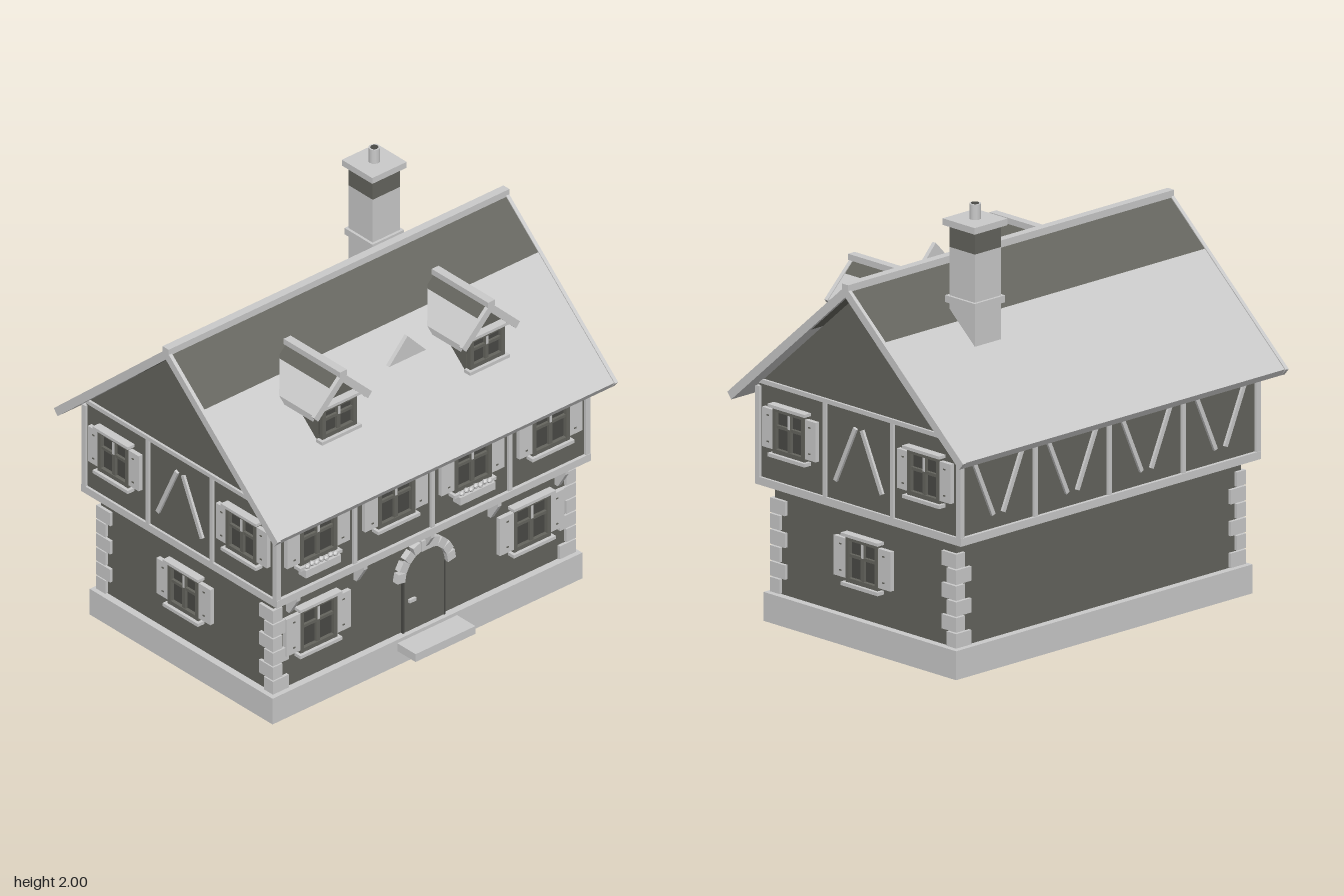
import * as THREE from 'three';

const make = (name, color) => {
  const m = new THREE.MeshStandardMaterial({ color });
  m.name = name;
  return m;
};

export function createModel() {
  const pale = make('pale timber and stone', 0xcacaca);
  const dark = make('dark plaster', 0x65655e);
  const glass = make('dark glass', 0x4a4a46);
  const house = new THREE.Group();
  house.name = 'house';

  const add = (parent, name, geo, mat) => {
    const m = new THREE.Mesh(geo, mat);
    m.name = name;
    parent.add(m);
    return m;
  };
  // box given by its extents on each axis
  const box = (parent, name, mat, x0, x1, y0, y1, z0, z1) => {
    const m = add(parent, name, new THREE.BoxGeometry(x1 - x0, y1 - y0, z1 - z0), mat);
    m.position.set((x0 + x1) / 2, (y0 + y1) / 2, (z0 + z1) / 2);
    return m;
  };
  // prism along z from [x, y] points
  const prismZ = (parent, name, mat, pts, z0, z1) => {
    const shape = new THREE.Shape(pts.map(p => new THREE.Vector2(p[0], p[1])));
    const g = new THREE.ExtrudeGeometry(shape, { depth: z1 - z0, bevelEnabled: false });
    return add(parent, name, g.translate(0, 0, z0), mat);
  };
  // prism along x from [z, y] points
  const prismX = (parent, name, mat, pts, x0, x1) => {
    const m = prismZ(parent, name, mat, pts.map(([z, y]) => [-z, y]), x0, x1);
    m.geometry.rotateY(Math.PI / 2);
    return m;
  };
  // slanted strut in a plane facing +z
  const brace = (parent, xa, ya, xb, yb, z) => {
    const m = add(parent, 'brace', new THREE.BoxGeometry(0.02, Math.hypot(xb - xa, yb - ya), 0.02), pale);
    m.position.set((xa + xb) / 2, (ya + yb) / 2, z);
    m.rotation.z = -Math.atan2(xb - xa, yb - ya);
  };

  // Window facing +z, origin at the middle of its sill on the wall
  const windowAt = (parent, hw, h, { shutters = 0, flowers = false } = {}) => {
    const g = new THREE.Group();
    g.name = 'window';
    parent.add(g);
    box(g, 'pane', glass, -hw, hw, 0, h, -0.01, 0.006);
    for (const s of [-1, 1]) {
      box(g, 'frameSide', dark, s * (hw - 0.01) - 0.01, s * (hw - 0.01) + 0.01, 0, h, 0, 0.025);
      box(g, 'frameRail', dark, -hw, hw, s > 0 ? h - 0.02 : 0, s > 0 ? h : 0.02, 0, 0.024);
      if (shutters) {
        const cx = s * (hw + shutters / 2 - 0.008);
        box(g, 'shutter', pale, cx - shutters / 2, cx + shutters / 2, 0.015, h - 0.015, 0, 0.022);
        for (const y of [0.045, h - 0.045])
          box(g, 'shutterHinge', dark, cx - 0.006, cx + 0.006, y - 0.003, y + 0.003, 0.02, 0.025);
      }
    }
    box(g, 'mullion', dark, -0.01, 0.01, 0, h, 0, 0.02);
    box(g, 'transom', dark, -hw, hw, h * 0.55, h * 0.55 + 0.014, 0, 0.019);
    box(g, 'mullionPlate', pale, -0.006, 0.006, h * 0.6, h * 0.92, 0.019, 0.023);
    box(g, 'lintel', pale, -hw - 0.015, hw + 0.015, h, h + 0.014, 0, 0.04);
    box(g, 'sill', pale, -hw - 0.015, hw + 0.015, -0.016, 0, 0, 0.04);
    if (flowers) {
      box(g, 'flowerBox', pale, -hw + 0.005, hw - 0.005, -0.05, -0.012, 0.005, 0.055);
      for (let i = 0; i < 7; i++) {
        const f = add(g, 'flower', new THREE.IcosahedronGeometry(0.014, 0), pale);
        f.position.set((i - 3) * 0.027, -0.004 + (i % 2) * 0.006, 0.04);
      }
    }
    return g;
  };

  // Ground floor
  box(house, 'plinth', pale, -0.9, 0.9, 0, 0.132, -0.6, 0.6);
  box(house, 'groundWalls', dark, -0.865, 0.865, 0.13, 0.63, -0.565, 0.565);
  box(house, 'doorStep', pale, -0.175, 0.172, 0.075, 0.115, 0.58, 0.72);
  for (const sx of [-1, 1]) for (const sz of [-1, 1]) for (let i = 0; i < 6; i++) {
    const wx = i % 2 ? 0.055 : 0.092, wz = i % 2 ? 0.092 : 0.06, y = 0.135 + i * 0.0725;
    const q = add(house, 'cornerStone', new THREE.BoxGeometry(wx, 0.066, wz), pale);
    q.position.set(sx * (0.88 - wx / 2), y + 0.033, sz * (0.58 - wz / 2));
  }

  // Arched door with stone surround
  const door = new THREE.Shape();
  door.moveTo(-0.12, 0.13).lineTo(0.12, 0.13).lineTo(0.12, 0.41);
  door.absarc(0, 0.41, 0.12, 0, Math.PI, false);
  const doorGeo = new THREE.ExtrudeGeometry(door, { depth: 0.012, bevelEnabled: false, curveSegments: 8 });
  add(house, 'door', doorGeo.translate(0, 0, 0.565), dark);
  for (const s of [-1, 1])
    box(house, 'doorJamb', glass, s * 0.12 - 0.004, s * 0.12 + 0.004, 0.13, 0.41, 0.565, 0.58);
  box(house, 'doorHandle', pale, -0.093, -0.055, 0.28, 0.296, 0.575, 0.59);
  for (let i = 0; i < 9; i++) {
    const a = Math.PI * (i + 0.5) / 9, key = i === 4;
    const v = add(house, 'archStone', new THREE.BoxGeometry(key ? 0.065 : 0.045, key ? 0.052 : 0.046, key ? 0.045 : 0.035), pale);
    v.position.set(0.146 * Math.cos(a), 0.405 + 0.146 * Math.sin(a), 0.578);
    v.rotation.z = a - Math.PI / 2;
  }

  // Overhang brackets
  for (const x of [-0.78, -0.39, 0, 0.39, 0.78])
    prismX(house, 'bracket', pale, [[0.56, 0.62], [0.635, 0.62], [0.635, 0.6], [0.585, 0.52], [0.56, 0.52]], x - 0.01, x + 0.01);

  // Upper floor and gable
  const roofY = z => 1.675 - 0.88 * Math.abs(z);
  prismX(house, 'upperWallsAndGable', dark,
    [[-0.625, 0.63], [0.625, 0.63], [0.625, 1.085], [0, 1.64], [-0.625, 1.085]], -0.9, 0.9);
  box(house, 'sillBeam', pale, -0.912, 0.912, 0.62, 0.656, -0.642, 0.642);
  for (const s of [-1, 1]) {
    for (const t of [-1, 1])
      box(house, 'cornerPost', pale, s * 0.9 - 0.013, s * 0.9 + 0.013, 0.65, 1.07, t * 0.627 - 0.013, t * 0.627 + 0.013);
    for (const x of [-0.45, 0, 0.45])
      box(house, 'wallPost', pale, x - 0.01, x + 0.01, 0.65, 1.06, s * 0.627 - 0.01, s * 0.627 + 0.01);
    box(house, 'topBeam', pale, -0.91, 0.91, 1.015, 1.05, s * 0.627 - 0.01, s * 0.627 + 0.01);
    for (const z of [-0.21, 0.21])
      box(house, 'sidePost', pale, s * 0.902 - 0.01, s * 0.902 + 0.01, 0.65, 1.1, z - 0.01, z + 0.01);
    box(house, 'gableBeam', pale, s * 0.902 - 0.01, s * 0.902 + 0.01, 1.085, 1.105, -0.62, 0.62);
  }

  // Walls on the two sides and the back, each built facing +z
  for (const s of [-1, 1]) {
    const side = new THREE.Group();
    side.name = s > 0 ? 'leftSide' : 'rightSide';
    side.rotation.y = s * Math.PI / 2;
    house.add(side);
    windowAt(side, 0.1, 0.21, { shutters: 0.085 }).position.set(0, 0.29, 0.865);
    for (const t of [-1, 1]) {
      windowAt(side, 0.1, 0.21, { shutters: 0.075 }).position.set(t * 0.42, 0.79, 0.9);
      brace(side, t * 0.145, 0.745, t * 0.02, 1.01, 0.902);
    }
  }
  const back = new THREE.Group();
  back.name = 'backBraces';
  back.rotation.y = Math.PI;
  house.add(back);
  for (const x of [-0.675, -0.225, 0.225, 0.675]) for (const s of [-1, 1])
    brace(back, x + s * 0.03, 0.72, x + s * 0.15, 0.99, 0.627);

  // Front windows
  for (const x of [-0.62, 0.62])
    windowAt(house, 0.107, 0.22, { shutters: 0.088 }).position.set(x, 0.287, 0.565);
  [-0.675, -0.222, 0.222, 0.675].forEach((x, i) =>
    windowAt(house, 0.107, 0.22, { shutters: 0.083, flowers: i % 2 === 0 }).position.set(x, 0.787, 0.626));

  // Main roof with a dark upper course, verge boards and ridge
  const slab = (za, zb) => [[za, roofY(za)], [zb, roofY(zb)], [zb - Math.sign(zb) * 0.018, roofY(zb) - 0.03],
    [za, roofY(za) - 0.045]];
  for (const s of [-1, 1]) {
    prismX(house, 'roofSlope', pale, slab(s * 0.23, s * 0.728), -0.975, 0.975);
    prismX(house, 'roofUpperCourse', dark,
      [[0, roofY(0)], [s * 0.23, roofY(0.23)], [s * 0.23, roofY(0.23) - 0.045], [0, roofY(0) - 0.045]], -0.975, 0.975);
    for (const t of [-1, 1])
      prismX(house, 'vergeBoard', pale, [[0, roofY(0) + 0.006], [s * 0.735, roofY(0.735) + 0.006],
        [s * 0.71, roofY(0.735) - 0.024], [0, roofY(0) - 0.045]], t * 0.98 - 0.009, t * 0.98 + 0.009);
  }
  box(house, 'ridge', pale, -0.99, 0.99, 1.657, 1.69, -0.02, 0.02);

  // Dormers
  for (const x of [-0.43, 0.43]) {
    const d = new THREE.Group();
    d.name = 'dormer';
    d.position.x = x;
    house.add(d);
    prismZ(d, 'dormerBody', dark, [[-0.105, 1.24], [0.105, 1.24], [0.105, 1.435], [0, 1.54], [-0.105, 1.435]], 0.2, 0.485);
    windowAt(d, 0.1, 0.155).position.set(0, 1.265, 0.485);
    for (const s of [-1, 1]) {
      const strip = (a, b, h) => [[s * a, 1.572 - 0.97 * a], [s * b, 1.572 - 0.97 * b],
        [s * b, 1.572 - 0.97 * b - h], [s * a, 1.572 - 0.97 * a - h]];
      prismZ(d, 'dormerUpperCourse', dark, strip(0, 0.06, 0.03), 0.17, 0.515);
      prismZ(d, 'dormerSlope', pale, strip(0.06, 0.16, 0.03), 0.17, 0.515);
      prismZ(d, 'dormerVerge', pale, [[0, 1.578], [s * 0.168, 1.415], [s * 0.145, 1.388], [0, 1.53]], 0.513, 0.532);
    }
    box(d, 'dormerRidge', pale, -0.02, 0.02, 1.562, 1.59, 0.165, 0.535);
  }
  prismZ(house, 'roofTriangle', pale, [[-0.107, 1.445], [0.107, 1.445], [0, 1.56]], 0.45, 0.47);

  // Chimney
  const chimney = new THREE.Group();
  chimney.name = 'chimney';
  chimney.position.set(0.45, 0, -0.257);
  house.add(chimney);
  const tier = (name, mat, r, y0, y1) => box(chimney, name, mat, -r, r, y0, y1, -r, r);
  tier('stack', pale, 0.079, 1.33, 1.8);
  tier('stackTop', dark, 0.079, 1.8, 1.905);
  tier('collar', pale, 0.092, 1.548, 1.58);
  tier('cap', pale, 0.1, 1.9, 1.93);
  add(chimney, 'pot', new THREE.CylinderGeometry(0.026, 0.026, 0.07, 12), pale).position.y = 1.965;
  add(chimney, 'potOpening', new THREE.CylinderGeometry(0.018, 0.018, 0.004, 12), glass).position.y = 2.0;

  return house;
}
